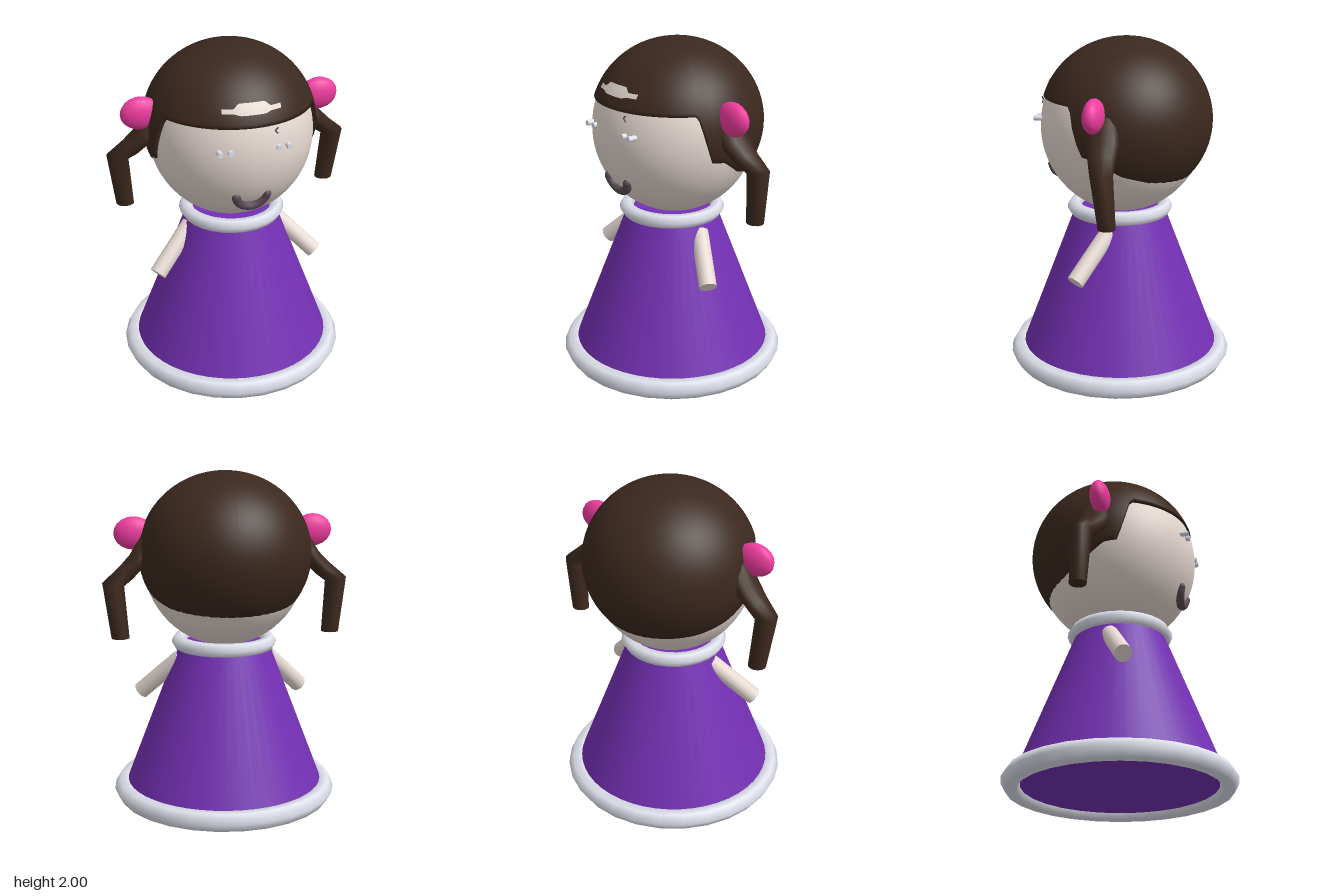
import * as THREE from 'three';

const mat = (color) => new THREE.MeshStandardMaterial({ color });
const V = (x, y, z) => new THREE.Vector3(x, y, z);

// Hair ellipsoid: centre and radii
const HAIR_C = V(0, 1.512, -0.04), HAIR_R = V(0.514, 0.488, 0.512);

// Lower edge of the hair: [angle towards the front in degrees, height]
const HAIR_EDGE = [[-90, 1.2], [-45, 1.2], [-11, 1.28], [6, 1.375], [15.5, 1.385], [25, 1.66], [90, 1.66]];

function edgeHeight(deg) {
  for (let i = 1; i < HAIR_EDGE.length; i++) {
    const [a0, y0] = HAIR_EDGE[i - 1], [a1, y1] = HAIR_EDGE[i];
    if (deg <= a1) return y0 + (y1 - y0) * (deg - a0) / (a1 - a0);
  }
  return 1.66;
}

// Ellipsoid cap whose lower edge follows HAIR_EDGE; the last row turns inwards as a rim
function hairGeometry() {
  const cols = 120, rows = 30;
  const g = new THREE.SphereGeometry(1, cols, rows, 0, Math.PI * 2, 0, 3);
  const p = g.attributes.position;
  for (let i = 0; i < p.count; i++) {
    const phi = (i % (cols + 1)) / cols * Math.PI * 2, row = Math.floor(i / (cols + 1));
    const x = -Math.sin(phi), z = -Math.cos(phi);
    const deg = THREE.MathUtils.radToDeg(Math.asin(THREE.MathUtils.clamp(z, -1, 1)));
    const end = Math.acos((edgeHeight(deg) - HAIR_C.y) / HAIR_R.y);
    const theta = end * Math.min(row / (rows - 1), 1);
    const k = Math.sin(theta) * (row === rows ? 0.88 : 1);
    p.setXYZ(i, HAIR_R.x * k * x, HAIR_C.y + HAIR_R.y * Math.cos(theta), HAIR_C.z + HAIR_R.z * k * z);
  }
  g.computeVertexNormals();
  return g;
}

// Pale patch laid over the front of the hair
function patchGeometry() {
  const g = new THREE.PlaneGeometry(0.34, 1, 34, 4);
  const p = g.attributes.position;
  for (let i = 0; i < p.count; i++) {
    const x = p.getX(i);
    const middle = THREE.MathUtils.clamp((0.105 - Math.abs(x)) / 0.03, 0, 1);
    const y = 1.738 - 0.01 * middle + (p.getY(i) + 0.5) * (0.024 + 0.036 * middle);
    const dx = x / HAIR_R.x, dy = (y - HAIR_C.y) / HAIR_R.y;
    p.setXYZ(i, x, y, HAIR_C.z + 0.005 + HAIR_R.z * Math.sqrt(1 - dx * dx - dy * dy));
  }
  g.computeVertexNormals();
  return g;
}

// Pigtail lofted through elliptical rings: [x, y, z, half width, half depth, ring tilt]
function pigtailGeometry(side) {
  const rings = [
    [0.44, 1.60, -0.04, 0, 0, 0.8],
    [0.44, 1.60, -0.04, 0.07, 0.09, 0.8],
    [0.53, 1.475, -0.045, 0.055, 0.095, 0.8],
    [0.595, 1.41, -0.06, 0.053, 0.08, 0.75],
    [0.67, 1.348, -0.08, 0.065, 0.065, 0.18],
    [0.635, 1.03, -0.10, 0.053, 0.05, 0],
    [0.635, 1.03, -0.10, 0.053, 0.05, 0],
    [0.635, 1.03, -0.10, 0, 0, 0],
  ];
  const n = 14, pos = [], idx = [];
  rings.forEach(([x, y, z, w, d, tilt], i) => {
    for (let j = 0; j < n; j++) {
      const t = side * j / n * Math.PI * 2, c = w * Math.cos(t);
      pos.push(side * (x + c * Math.cos(tilt)), y + c * Math.sin(tilt), z + d * Math.sin(t));
      if (i === rings.length - 1) continue;
      const a = i * n + j, b = i * n + (j + 1) % n;
      idx.push(a, b, a + n, b, b + n, a + n);
    }
  });
  const g = new THREE.BufferGeometry();
  g.setAttribute('position', new THREE.Float32BufferAttribute(pos, 3));
  g.setIndex(idx);
  g.computeVertexNormals();
  return g;
}

export function createModel() {
  const model = new THREE.Group();
  model.name = 'doll';
  const skin = mat(0xe6d9d2), hair = mat(0x3b281e), purple = mat(0x7430b4);
  const white = mat(0xdfe1ec), pink = mat(0xf03ca0), dark = mat(0x5a4a54);

  const add = (name, geo, material, x = 0, y = 0, z = 0) => {
    const m = new THREE.Mesh(geo, material);
    m.name = name;
    m.position.set(x, y, z);
    model.add(m);
    return m;
  };
  const rod = (name, a, b, r, material) => {
    const d = b.clone().sub(a);
    const m = add(name, new THREE.CylinderGeometry(r, r, d.length(), 16), material);
    m.position.copy(a).add(b).multiplyScalar(0.5);
    m.quaternion.setFromUnitVectors(V(0, 1, 0), d.normalize());
  };

  // Dress: closed cone with two hexagonal-section rings at its ends
  add('dress', new THREE.CylinderGeometry(0.268, 0.625, 0.935, 48), purple, 0, 0.5025, 0);
  add('hem', new THREE.TorusGeometry(0.622, 0.061, 6, 28), white, 0, 0.053, 0).rotation.x = Math.PI / 2;
  add('collar', new THREE.TorusGeometry(0.276, 0.043, 6, 28), white, 0, 0.972, 0).rotation.x = Math.PI / 2;

  // Head, slightly taller than wide and resting in the collar, and hair
  add('head', new THREE.SphereGeometry(1, 48, 32), skin, 0, 1.473, -0.02).scale.set(0.488, 0.513, 0.49);
  add('hair', hairGeometry(), hair);
  add('hairPatch', patchGeometry(), skin);

  // Smile with rounded ends
  const smile = new THREE.CatmullRomCurve3([-1, -0.75, -0.4, 0, 0.4, 0.75, 1].map((k) => {
    const a = k * 1.4;
    return V(0.093 * Math.sin(a), 1.242 - 0.088 * Math.cos(a), 0.402 - 0.022 * Math.cos(a));
  }));
  add('mouth', new THREE.TubeGeometry(smile, 28, 0.026, 10), dark);
  for (const t of [0, 1]) {
    add('mouthCorner', new THREE.SphereGeometry(0.026, 10, 8), dark).position.copy(smile.getPoint(t));
  }

  // Small stray lash over the left eye
  for (const y of [1.645, 1.61]) rod('lash', V(0.12, 1.628, 0.437), V(0.137, y, 0.437), 0.004, dark);

  // Mirrored parts
  for (const s of [1, -1]) {
    const label = s > 0 ? 'left' : 'right';
    rod(label + 'Arm', V(s * 0.262, 0.878, -0.002), V(s * 0.5, 0.64, 0.13), 0.052, skin);
    add(label + 'Pigtail', pigtailGeometry(s), hair);
    add(label + 'HairTie', new THREE.SphereGeometry(1, 14, 10), pink, s * 0.54, 1.638, 0).scale.set(0.118, 0.098, 0.058);
    for (const x of [0.14, 0.2]) rod(label + 'Eye', V(s * x, 1.53, 0.4), V(s * x, 1.53, 0.468), 0.016, white);
  }
  return model;
}
